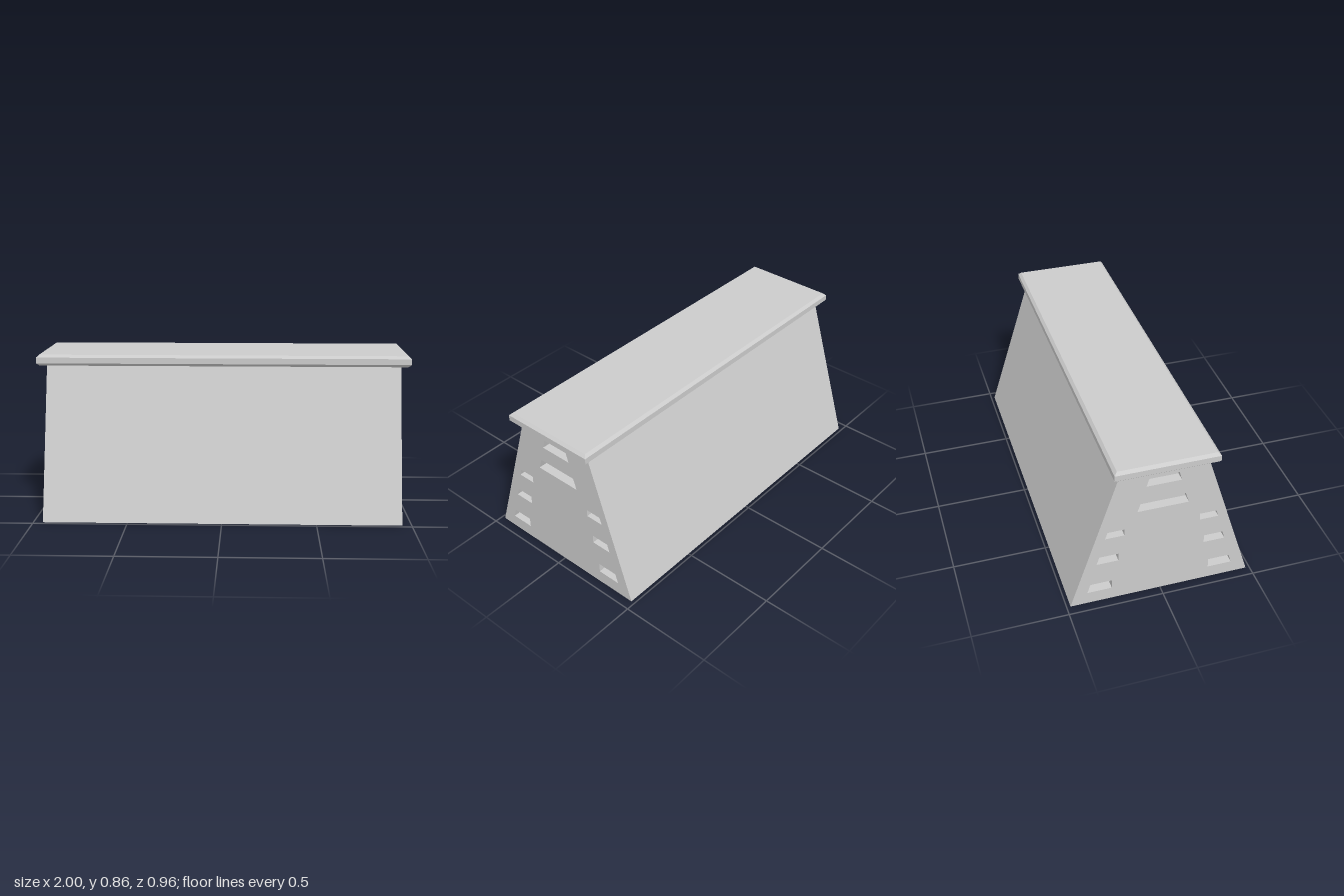
import * as THREE from 'three';

const HALF_LENGTH = 0.95;
const POCKET_DEPTH = 0.05;

// Trapezoid end profile of the body (horizontal axis is depth, vertical is height)
const bodyProfile = () => new THREE.Shape([[-0.48, 0], [0.48, 0], [0.222, 0.81], [-0.222, 0.81]]
  .map(([z, y]) => new THREE.Vector2(z, y)));

// Four-cornered slot: bottom and top edges run between the given depths
const slot = (y0, y1, bottom, top) => new THREE.Path([
  new THREE.Vector2(bottom[0], y0), new THREE.Vector2(top[0], y1),
  new THREE.Vector2(top[1], y1), new THREE.Vector2(bottom[1], y0),
]);

// Extrudes a profile along x between two positions
function extrudeAlongX(shape, x0, x1) {
  return new THREE.ExtrudeGeometry(shape, { depth: x1 - x0, bevelEnabled: false })
    .rotateY(Math.PI / 2).translate(x0, 0, 0);
}

export function createModel() {
  const model = new THREE.Group();
  model.name = 'vaultingBox';
  const material = new THREE.MeshStandardMaterial({ color: 0xcccccc, flatShading: true });
  const add = (name, geometry) => {
    const mesh = new THREE.Mesh(geometry, material);
    mesh.name = name;
    model.add(mesh);
  };

  // Solid core between the two slotted ends
  const inner = HALF_LENGTH - POCKET_DEPTH;
  add('bodyCore', extrudeAlongX(bodyProfile(), -inner, inner));

  // End panels: two central hand slots and three mirrored pairs at the sides
  const endShape = bodyProfile();
  endShape.holes.push(
    slot(0.705, 0.757, [-0.09, 0.09], [-0.075, 0.075]),
    slot(0.554, 0.615, [-0.133, 0.133], [-0.113, 0.113]),
  );
  const sideSlots = [
    // bottom, top, inner edge, outer bottom corner, outer top corner
    [0.418, 0.457, 0.197, 0.296, 0.284],
    [0.256, 0.302, 0.227, 0.34, 0.327],
    [0.071, 0.124, 0.261, 0.39, 0.374],
  ];
  for (const [y0, y1, edge, outerLow, outerHigh] of sideSlots) {
    for (const side of [-1, 1]) {
      endShape.holes.push(slot(y0, y1, [side * edge, side * outerLow], [side * edge, side * outerHigh]));
    }
  }
  add('leftEndPanel', extrudeAlongX(endShape, inner, HALF_LENGTH));
  add('rightEndPanel', extrudeAlongX(endShape, -HALF_LENGTH, -inner));

  // Overhanging top pad with chamfered upper and lower edges
  const bevel = 0.015, halfX = 1 - bevel, halfZ = 0.265 - bevel;
  const padShape = new THREE.Shape([
    new THREE.Vector2(-halfX, -halfZ), new THREE.Vector2(halfX, -halfZ),
    new THREE.Vector2(halfX, halfZ), new THREE.Vector2(-halfX, halfZ),
  ]);
  const pad = new THREE.ExtrudeGeometry(padShape, {
    depth: 0.031, bevelThickness: 0.014, bevelSize: bevel, bevelSegments: 1,
  });
  pad.rotateX(-Math.PI / 2).translate(0, 0.819, 0);
  add('topPad', pad);

  return model;
}
